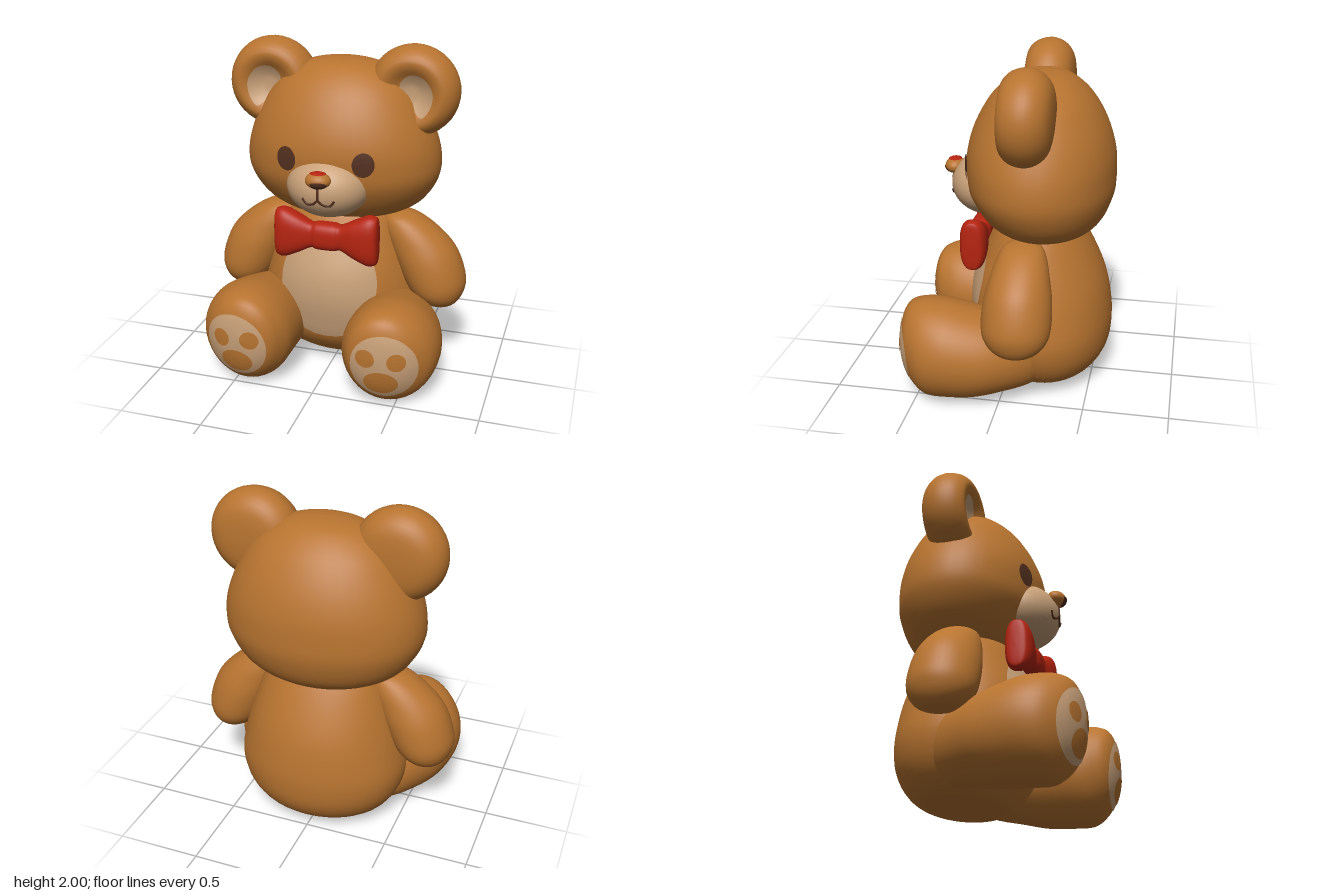
import * as THREE from 'three';

const mat = (name, color) => Object.assign(new THREE.MeshStandardMaterial({ color }), { name });
const fur = mat('brown fur', 0xb87430);
const cream = mat('cream plush', 0xc8a078);
const red = mat('red satin', 0xb52410);
const dark = mat('dark brown', 0x53301f);

function add(parent, name, geometry, material) {
  const mesh = new THREE.Mesh(geometry, material);
  mesh.name = name;
  parent.add(mesh);
  return mesh;
}

// Smoothly interpolates between rows of numbers (Catmull-Rom)
function smoothRows(rows, steps) {
  const out = [];
  for (let i = 0; i < rows.length - 1; i++) {
    const p = rows[Math.max(i - 1, 0)], a = rows[i], b = rows[i + 1], n = rows[Math.min(i + 2, rows.length - 1)];
    for (let s = 0; s < steps; s++) {
      const u = s / steps;
      out.push(a.map((v, k) => {
        const cubic = 3 * (v - b[k]) + n[k] - p[k];
        const square = 2 * p[k] - 5 * v + 4 * b[k] - n[k];
        return v + 0.5 * u * (b[k] - p[k] + u * (square + u * cubic));
      }));
    }
  }
  out.push(rows[rows.length - 1]);
  return out;
}

function finish(pos, index) {
  const g = new THREE.BufferGeometry();
  g.setAttribute('position', new THREE.Float32BufferAttribute(pos, 3));
  g.setIndex(index);
  g.computeVertexNormals();
  return g;
}

// Oval sections along an axis (0 x, 1 y, 2 z). Row: position, then centre and radius
// on the next two axes in x-y-z-x order. Power below 1 squares the ovals.
function loft(axis, rows, power = 1, steps = 4, seg = 40) {
  const rings = smoothRows(rows, steps), pos = [], index = [];
  const bend = v => Math.sign(v) * Math.pow(Math.abs(v), power);
  rings.forEach(([t, a, b, ra, rb], i) => {
    for (let j = 0; j < seg; j++) {
      const th = j / seg * Math.PI * 2, p = [0, 0, 0];
      p[axis] = t;
      p[(axis + 1) % 3] = a + Math.max(ra, 0) * bend(Math.cos(th));
      p[(axis + 2) % 3] = b + Math.max(rb, 0) * bend(Math.sin(th));
      pos.push(...p);
      if (i < rings.length - 1) {
        const k = i * seg + j, l = i * seg + (j + 1) % seg;
        index.push(k, l, l + seg, k, l + seg, k + seg);
      }
    }
  });
  return finish(pos, index);
}

// Height of a part's front surface at x, y
const caster = new THREE.Raycaster();
function frontZ(target, x, y) {
  caster.set(new THREE.Vector3(x, y, 3), new THREE.Vector3(0, 0, -1));
  const hit = caster.intersectObject(target, false)[0];
  return hit ? hit.point.z : null;
}

// Thin patch that hugs the front of a part; outline runs counter-clockwise
function patch(target, outline, lift = 0.006, seg = 40, rings = 10) {
  const curve = new THREE.CatmullRomCurve3(outline.map(([x, y]) => new THREE.Vector3(x, y, 0)), true);
  const rim = curve.getPoints(seg).slice(0, seg);
  const mid = rim.reduce((s, p) => s.add(p), new THREE.Vector3()).divideScalar(seg);
  const pos = [], index = [];
  rim.forEach((p, j) => {
    let z = 0;
    for (let i = 0; i <= rings; i++) {
      const q = mid.clone().lerp(p, i / rings);
      z = frontZ(target, q.x, q.y) ?? z;
      pos.push(q.x, q.y, z + lift);
      if (i < rings) {
        const k = j * (rings + 1) + i, l = ((j + 1) % seg) * (rings + 1) + i;
        index.push(k, k + 1, l + 1, k, l + 1, l);
      }
    }
  });
  return finish(pos, index);
}

const oval = (x, y, rx, ry) => Array.from({ length: 12 }, (_, i) => {
  const t = i / 12 * Math.PI * 2;
  return [x + rx * Math.cos(t), y + ry * Math.sin(t)];
});
const ball = (x, y, z, rx, ry, rz, cap = Math.PI) =>
  new THREE.SphereGeometry(1, 40, 28, 0, Math.PI * 2, 0, cap).scale(rx, ry, rz).translate(x, y, z);

// Embroidered line following a part
function stitch(target, points) {
  const path = new THREE.CatmullRomCurve3(points.map(([x, y]) => new THREE.Vector3(x, y, frontZ(target, x, y))));
  return new THREE.TubeGeometry(path, 16, 0.008, 6);
}

export function createModel() {
  const bear = new THREE.Group();
  bear.name = 'teddyBear';

  // Body and belly
  const body = add(bear, 'body', loft(1, [
    [0.02, -0.2, 0, 0, 0], [0.03, -0.2, 0, 0.17, 0.22], [0.08, -0.21, 0, 0.29, 0.38],
    [0.2, -0.2, 0, 0.385, 0.48], [0.35, -0.19, 0, 0.42, 0.52], [0.5, -0.175, 0, 0.425, 0.5],
    [0.65, -0.168, 0, 0.402, 0.46], [0.8, -0.165, 0, 0.345, 0.41], [0.95, -0.16, 0, 0.27, 0.35],
    [1.05, -0.16, 0, 0.2, 0.28]]), fur);
  add(bear, 'belly', patch(body, [[0.12, 0.25], [0.25, 0.36], [0.3, 0.55], [0.28, 0.7], [0.2, 0.82],
    [0, 0.86], [-0.2, 0.82], [-0.28, 0.7], [-0.3, 0.55], [-0.25, 0.36], [-0.12, 0.25]]), cream);

  // Head and muzzle
  const head = add(bear, 'head', loft(1, [
    [0.94, -0.2, 0, 0, 0], [0.95, -0.2, 0, 0.2, 0.25], [0.99, -0.2, 0, 0.29, 0.4],
    [1.07, -0.19, 0, 0.365, 0.51], [1.2, -0.175, 0, 0.425, 0.585], [1.32, -0.168, 0, 0.437, 0.597],
    [1.45, -0.165, 0, 0.43, 0.57], [1.6, -0.165, 0, 0.385, 0.505], [1.75, -0.165, 0, 0.3, 0.405],
    [1.85, -0.165, 0, 0.195, 0.27], [1.89, -0.165, 0, 0.1, 0.14], [1.9, -0.165, 0, 0, 0]]), fur);
  const muzzle = add(bear, 'muzzle', ball(0, 1.21, 0.15, 0.25, 0.19, 0.225), cream);

  // Nose with dark front and red top
  const nose = add(bear, 'nose', ball(0, 1.3, 0.36, 0.075, 0.048, 0.06), fur);
  add(bear, 'noseFront', patch(nose, [[0, 1.256], [0.045, 1.268], [0.062, 1.29], [0.03, 1.306], [-0.03, 1.295]], 0.004), dark);
  add(bear, 'noseTop', ball(0, 1.3, 0.36, 0.079, 0.052, 0.064, 0.65), red);
  add(bear, 'mouthLine', stitch(muzzle, [[0, 1.26], [0, 1.22], [0, 1.18]]), dark);

  // Bow tie
  const wing = [[0.05, 0.9, 0.2, 0.085, 0.065], [0.09, 0.9, 0.2, 0.078, 0.055], [0.17, 0.9, 0.2, 0.118, 0.074],
    [0.25, 0.9, 0.2, 0.153, 0.08], [0.295, 0.9, 0.2, 0.15, 0.068], [0.313, 0.9, 0.2, 0.125, 0.045], [0.318, 0.9, 0.2, 0, 0]];
  const otherWing = wing.map(([x, ...rest]) => [-x, ...rest]).reverse();
  add(bear, 'bowTie', loft(0, [...otherWing, ...wing], 0.75), red);

  for (const s of [1, -1]) {
    const side = s > 0 ? 'left' : 'right';
    const mirror = pts => s > 0 ? pts : pts.map(([x, y]) => [-x, y]).reverse();

    // Eye and half of the smile
    add(bear, side + 'Eye', patch(head, mirror(oval(0.23, 1.372, 0.062, 0.072)), 0.009), dark);
    add(bear, side + 'Smile', stitch(muzzle, [[0, 1.185], [0.03 * s, 1.157], [0.07 * s, 1.153], [0.095 * s, 1.185]]), dark);

    // Ear with a dished front
    const profile = smoothRows([[0, -0.3], [0.1, -0.296], [0.19, -0.275], [0.25, -0.22], [0.272, -0.145],
      [0.25, -0.06], [0.2, -0.012], [0.15, -0.016], [0.1, -0.045], [0.05, -0.066], [0, -0.07]], 3);
    const earShape = new THREE.LatheGeometry(profile.map(([r, h]) => new THREE.Vector2(Math.max(r, 0), h)), 40);
    const ear = add(bear, side + 'Ear', earShape.rotateX(Math.PI / 2).translate(0.43 * s, 1.73, 0), fur);
    add(bear, side + 'InnerEar', patch(ear, mirror([[0.5, 1.6], [0.55, 1.66], [0.56, 1.75], [0.5, 1.83],
      [0.42, 1.84], [0.36, 1.77], [0.43, 1.66]])), cream);

    // Arm
    add(bear, side + 'Arm', loft(1, [
      [0.4, 0.64, 0, 0], [0.41, 0.64, 0.08, 0.07], [0.44, 0.63, 0.14, 0.12], [0.5, 0.615, 0.185, 0.165],
      [0.58, 0.595, 0.2, 0.194], [0.7, 0.55, 0.195, 0.205], [0.8, 0.5, 0.175, 0.2], [0.9, 0.43, 0.145, 0.165],
      [0.97, 0.38, 0.1, 0.1], [1, 0.36, 0, 0]].map(([y, x, rz, rx]) => [y, -0.12, x * s, rz, rx])), fur);

    // Leg, sole and paw pads
    const leg = add(bear, side + 'Leg', loft(2, [
      [-0.3, 0.3, 0.27, 0, 0], [-0.27, 0.3, 0.27, 0.1, 0.1], [-0.18, 0.33, 0.28, 0.2, 0.2],
      [0, 0.4, 0.285, 0.255, 0.24], [0.15, 0.43, 0.29, 0.277, 0.275], [0.3, 0.44, 0.303, 0.287, 0.298],
      [0.42, 0.435, 0.305, 0.275, 0.302], [0.5, 0.425, 0.32, 0.235, 0.275], [0.56, 0.41, 0.34, 0.18, 0.22],
      [0.595, 0.4, 0.35, 0.1, 0.13], [0.61, 0.4, 0.35, 0, 0]].map(([z, x, ...r]) => [z, x * s, ...r])), fur);
    add(bear, side + 'Sole', patch(leg, mirror(oval(0.45, 0.295, 0.195, 0.205)), 0.005), cream);
    [[0.35, 0.355, 0.058, 0.056], [0.53, 0.345, 0.053, 0.056], [0.44, 0.2, 0.1, 0.077]].forEach((pad, i) =>
      add(bear, side + 'PawPad' + (i + 1), patch(leg, mirror(oval(...pad)), 0.009), fur));
  }
  return bear;
}
